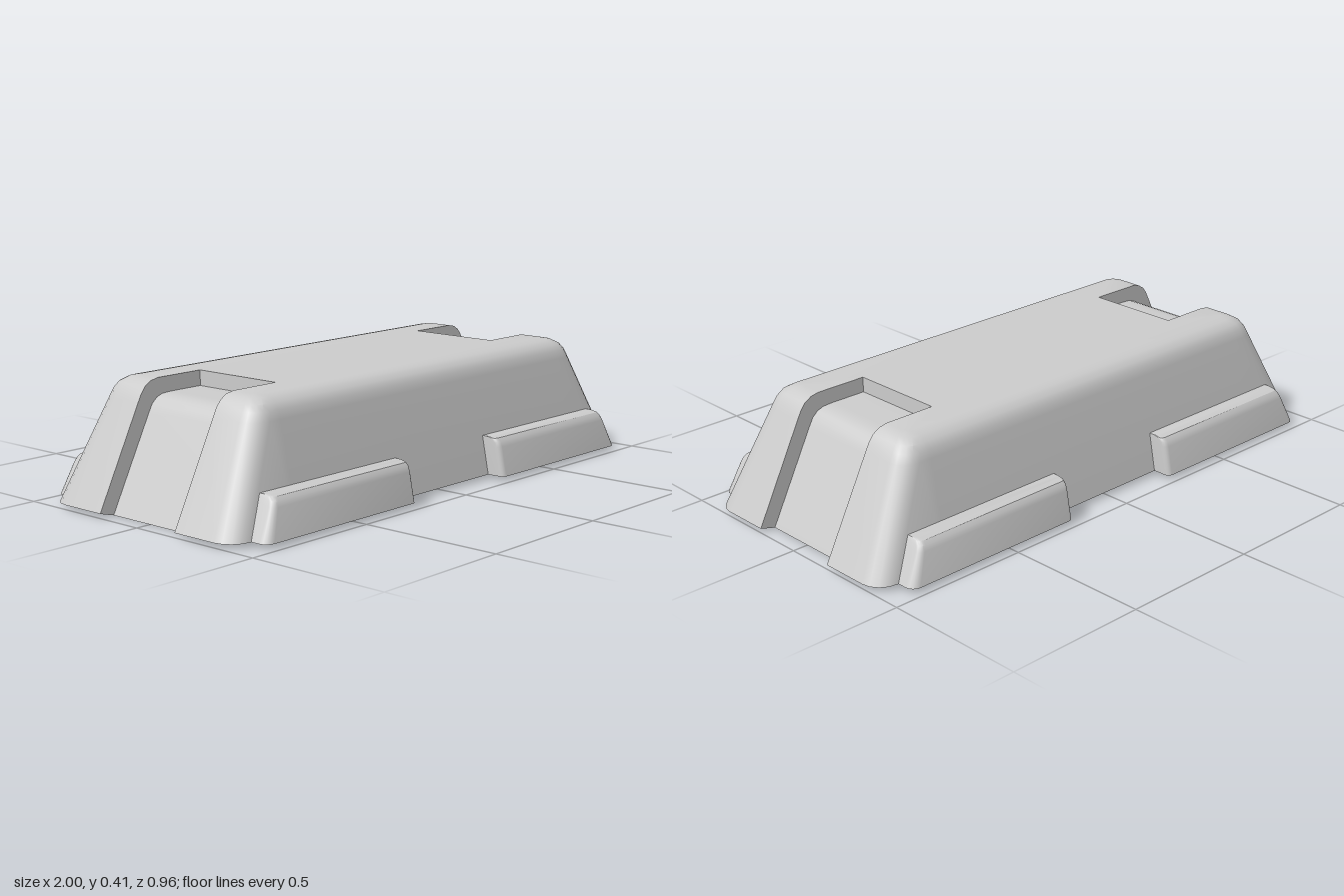
import * as THREE from 'three';
import { toCreasedNormals } from 'three/addons/utils/BufferGeometryUtils.js';

const v = (x, y, z) => new THREE.Vector3(x, y, z);

// Triangulates a polygon seen from above; dir is +1 to face up, -1 to face down
function cap(out, ring, dir) {
  const flat = ring.map((p) => new THREE.Vector2(p.x, p.z));
  for (const [a, b, c] of THREE.ShapeUtils.triangulateShape(flat, [])) {
    const n = ring[b].clone().sub(ring[a]).cross(ring[c].clone().sub(ring[a]));
    out.push(...(n.y * dir > 0 ? [ring[a], ring[b], ring[c]] : [ring[a], ring[c], ring[b]]));
  }
}

// Joins rings (clockwise from above, bottom to top) into walls
function walls(out, rings) {
  const tri = (a, b, c) => {
    const area = b.clone().sub(a).cross(c.clone().sub(a)).length();
    if (area > 1e-8) out.push(a, b, c);
  };
  for (let k = 0; k + 1 < rings.length; k++) {
    const lo = rings[k], hi = rings[k + 1];
    for (let i = 0; i < lo.length; i++) {
      const j = (i + 1) % lo.length;
      tri(lo[i], hi[i], hi[j]);
      tri(lo[i], hi[j], lo[j]);
    }
  }
}

function makeMesh(points, name, material) {
  const geometry = new THREE.BufferGeometry().setFromPoints(points);
  const mesh = new THREE.Mesh(toCreasedNormals(geometry, 0.5), material);
  mesh.name = name;
  return mesh;
}

// Quarter arc in plan, from angle a0 over 90 degrees
function arc(cx, cz, r, y, a0, steps = 4) {
  return Array.from({ length: steps + 1 }, (_, i) => {
    const a = a0 + (i / steps) * Math.PI / 2;
    return v(cx + r * Math.cos(a), y, cz + r * Math.sin(a));
  });
}

// Tapered body with a recessed channel running down each end
function makeBody(material) {
  const seam = 0.72, notch = 0.17;
  // half length, height, half width, corner radius, channel x, channel height
  const levels = [
    [1, 0.015, 0.415, 0.075, 0.945, 0],
    [0.832, 0.345, 0.348, 0.065, 0.788, 0.305],
    [0.817, 0.373, 0.34, 0.06, 0.772, 0.334],
    [0.8, 0.394, 0.325, 0.05, 0.752, 0.352],
    [0.775, 0.409, 0.3, 0.04, 0.727, 0.361],
    [0.745, 0.415, 0.268, 0.025, 0.69, 0.363],
    [0.745, 0.415, 0.268, 0.025, 0.56, 0.363],
    [0.745, 0.415, 0.268, 0.025, 0.56, 0.415],
  ];
  const halves = levels.map(([x, y, z, r, xi, yi]) => [
    v(seam, y, -z),
    ...arc(x - r, -z + r, r, y, -Math.PI / 2),
    v(x, y, -notch), v(xi, yi, -notch), v(xi, yi, notch), v(x, y, notch),
    ...arc(x - r, z - r, r, y, 0),
    v(seam, y, z),
  ]);
  const turn = (half) => half.map((p) => v(-p.x, p.y, -p.z));
  const out = [];
  walls(out, halves.map((half) => [...half, ...turn(half)]));

  // Top: one outline, with the channels open at both ends
  const top = halves[halves.length - 1];
  cap(out, [...top, ...turn(top)], 1);

  // Underside: flat centre, ends dipping slightly below the channels
  const base = halves[0], other = turn(base);
  cap(out, base, -1);
  cap(out, other, -1);
  cap(out, [base[0], base[base.length - 1], other[0], other[other.length - 1]], -1);
  return makeMesh(out, 'body', material);
}

// Side skirt block with a rounded top edge and a slanted outer end
function makeSkirt(sx, sz, name, material) {
  // height, outer end x, outer face z, hidden inner z
  const levels = [
    [0.015, 0.92, 0.48, 0.4],
    [0.115, 0.871, 0.46, 0.38],
    [0.132, 0.863, 0.454, 0.377],
    [0.144, 0.857, 0.443, 0.375],
    [0.148, 0.855, 0.425, 0.373],
  ];
  const inner = 0.232, rIn = 0.018;
  const rings = levels.map(([y, x, z, zi], k) => {
    const r = k === 0 ? 0.032 : 0.02;
    const ring = [
      v(inner, y, zi), v(x, y, zi),
      ...arc(x - r, z - r, r, y, 0),
      ...arc(inner + rIn, z - rIn, rIn, y, Math.PI / 2),
    ].map((p) => v(p.x * sx, p.y, p.z * sz));
    return sx * sz < 0 ? ring.reverse() : ring;
  });
  const out = [];
  walls(out, rings);
  cap(out, rings[0], -1);
  cap(out, rings[rings.length - 1], 1);
  return makeMesh(out, name, material);
}

export function createModel() {
  const group = new THREE.Group();
  group.name = 'taperedBlock';
  const material = new THREE.MeshStandardMaterial({ color: 0xcccccc });
  group.add(makeBody(material));
  for (const sx of [1, -1]) {
    for (const sz of [1, -1]) {
      const name = (sz > 0 ? 'front' : 'back') + (sx > 0 ? 'Left' : 'Right') + 'Skirt';
      group.add(makeSkirt(sx, sz, name, material));
    }
  }
  return group;
}
